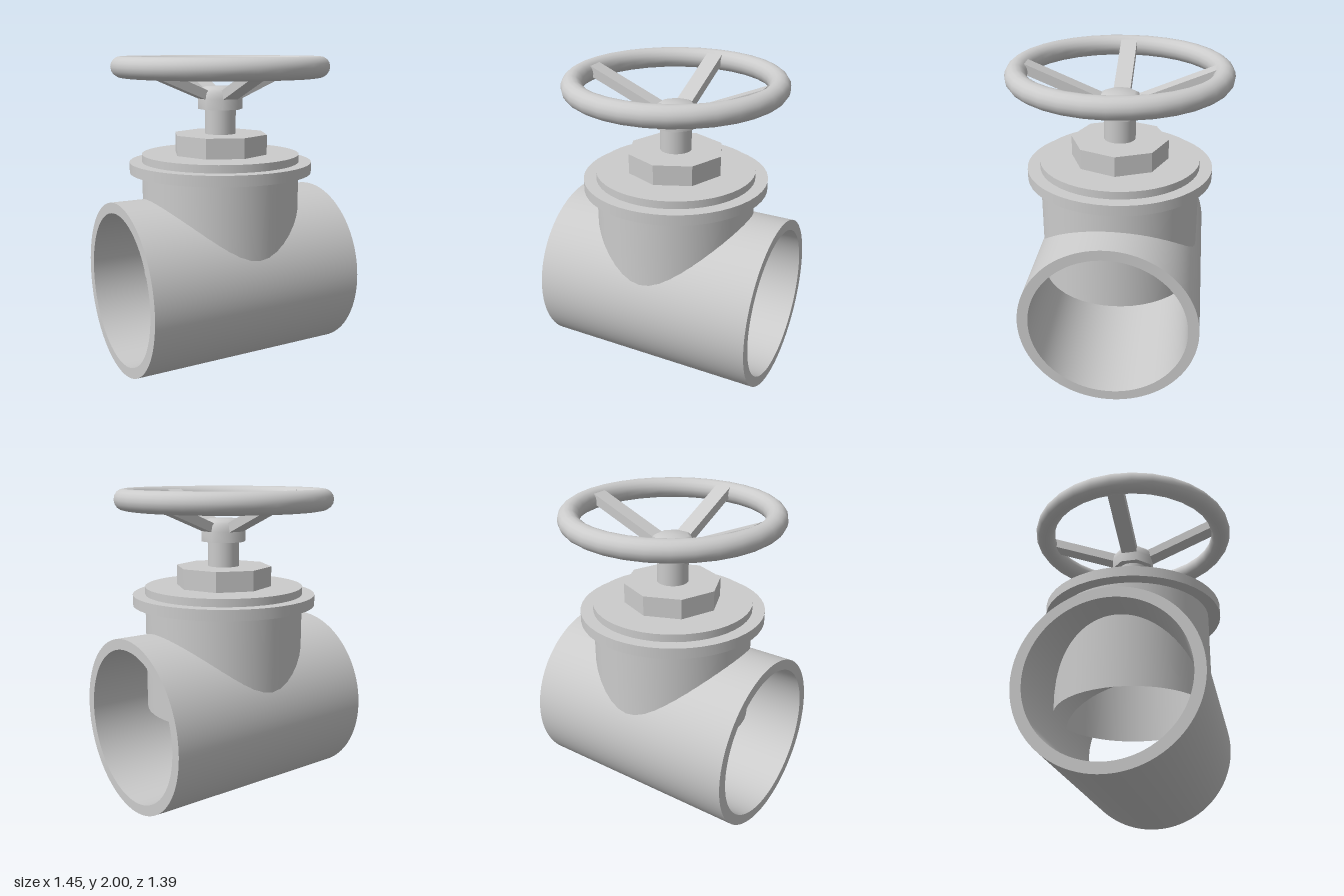
import * as THREE from 'three';
import { toCreasedNormals } from 'three/addons/utils/BufferGeometryUtils.js';

const material = new THREE.MeshStandardMaterial({ color: 0xcccccc });
const openMaterial = new THREE.MeshStandardMaterial({ color: 0xcccccc, side: THREE.DoubleSide });

function part(parent, name, geometry, y = 0, mat = material) {
  const mesh = new THREE.Mesh(geometry, mat);
  mesh.name = name;
  mesh.position.y = y;
  parent.add(mesh);
  return mesh;
}

// Upright cylinder between two heights
function drum(parent, name, radius, y0, y1, sides, open = false, mat = material) {
  const geometry = new THREE.CylinderGeometry(radius, radius, y1 - y0, sides, 1, open);
  return part(parent, name, geometry, (y0 + y1) / 2, mat);
}

// Hollow pipe lying along x
function pipeGeometry(outer, inner, length) {
  const ring = new THREE.Shape().absarc(0, 0, outer, 0, Math.PI * 2, false);
  ring.holes.push(new THREE.Path().absarc(0, 0, inner, 0, Math.PI * 2, true));
  const geometry = new THREE.ExtrudeGeometry(ring, { depth: length, bevelEnabled: false, curveSegments: 48 });
  geometry.translate(0, 0, -length / 2).rotateY(Math.PI / 2);
  return toCreasedNormals(geometry, 0.6);
}

// Sloping spoke, drawn as a side profile and given its width
function spokeGeometry(width) {
  const profile = new THREE.Shape([
    [0.08, 1.712], [0.59, 1.923], [0.575, 1.982], [0.08, 1.775],
  ].map(([x, y]) => new THREE.Vector2(x, y)));
  const geometry = new THREE.ExtrudeGeometry(profile, { depth: width, bevelEnabled: false });
  return geometry.translate(0, 0, -width / 2);
}

export function createModel() {
  const model = new THREE.Group();
  model.name = 'gateValve';

  // Body
  part(model, 'pipe', pipeGeometry(0.557, 0.49, 1.45), 0.557);
  drum(model, 'bonnetSleeve', 0.51, 0.575, 1.3, 48, true, openMaterial);
  drum(model, 'flange', 0.59, 1.265, 1.333, 48);
  drum(model, 'bonnetCap', 0.51, 1.3, 1.382, 48);

  // Octagonal packing nut and stem
  const nut = new THREE.CylinderGeometry(0.31, 0.31, 0.128, 8).toNonIndexed();
  nut.computeVertexNormals();
  part(model, 'packingNut', nut, 1.446);
  drum(model, 'stem', 0.1, 1.5, 1.69, 24);

  // Handwheel: rim, hub and four spokes
  const wheel = new THREE.Group();
  wheel.name = 'handwheel';
  model.add(wheel);
  part(wheel, 'rim', new THREE.TorusGeometry(0.627, 0.066, 16, 32).rotateX(Math.PI / 2), 1.934);

  const hubProfile = [
    [0, 1.668], [0.145, 1.668], [0.145, 1.735], [0.137, 1.775], [0.122, 1.798], [0.1, 1.81], [0, 1.813],
  ].map(([x, y]) => new THREE.Vector2(x, y));
  const hub = new THREE.LatheGeometry(hubProfile, 8, Math.PI / 8);
  part(wheel, 'hub', toCreasedNormals(hub, 0.9));

  const spoke = spokeGeometry(0.106);
  for (let i = 0; i < 4; i++) {
    part(wheel, 'spoke', spoke).rotation.y = i * Math.PI / 2;
  }

  return model;
}
